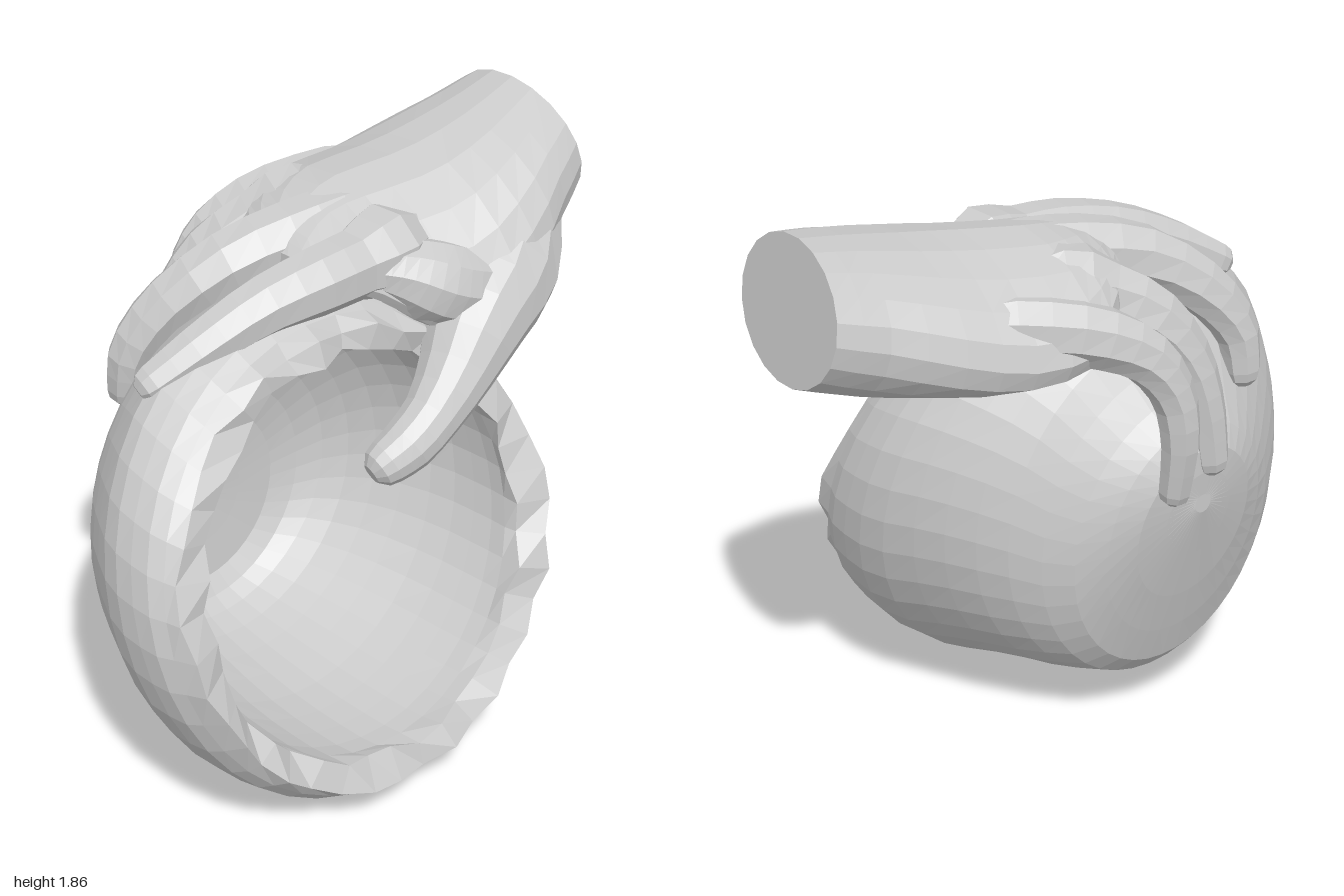
import * as THREE from 'three';

const grey = new THREE.MeshStandardMaterial({ color: 0xcccccc, flatShading: true });

// Skin a list of rings (arrays of Vector3, counter-clockwise about the travel) and cap both ends
function loft(name, rings) {
  const n = rings[0].length, m = rings.length, pos = [], idx = [];
  rings.forEach(r => r.forEach(p => pos.push(p.x, p.y, p.z)));
  for (let i = 0; i < m - 1; i++) {
    for (let j = 0; j < n; j++) {
      const a = i * n + j, b = i * n + (j + 1) % n;
      idx.push(a, b, a + n, b, b + n, a + n);
    }
  }
  [0, m - 1].forEach((i, end) => {
    const c = new THREE.Vector3();
    rings[i].forEach(p => c.addScaledVector(p, 1 / n));
    const k = pos.length / 3;
    pos.push(c.x, c.y, c.z);
    for (let j = 0; j < n; j++) {
      const a = i * n + j, b = i * n + (j + 1) % n;
      if (end) idx.push(k, a, b); else idx.push(k, b, a);
    }
  });
  let g = new THREE.BufferGeometry();
  g.setAttribute('position', new THREE.Float32BufferAttribute(pos, 3));
  g.setIndex(idx);
  g = g.toNonIndexed();
  g.computeVertexNormals();
  const mesh = new THREE.Mesh(g, grey);
  mesh.name = name;
  return mesh;
}

// Smoothly resample rows of up to six numbers, column by column
function resample(rows, steps) {
  const v = (a, b, c) => new THREE.CatmullRomCurve3(rows.map(r => new THREE.Vector3(r[a] ?? 0, r[b] ?? 0, r[c] ?? 0)));
  const c1 = v(0, 1, 2), c2 = v(3, 4, 5);
  return Array.from({ length: steps + 1 }, (_, i) => [...c1.getPoint(i / steps).toArray(), ...c2.getPoint(i / steps).toArray()]);
}

// Finger: rows of [x, y, z, radius] from inside the palm to the tip, with a rounded tip
function finger(name, rows, sides = 8) {
  const path = resample(rows, 14);
  const pts = path.map(p => new THREE.Vector3(p[0], p[1], p[2]));
  const radii = path.map(p => p[3]);
  const last = pts.length - 1;
  const dir = pts[last].clone().sub(pts[last - 1]).normalize();
  const tipR = radii[last], tip = pts[last].clone();
  [[0.5, 0.85], [0.85, 0.45]].forEach(([d, s]) => {
    pts.push(tip.clone().addScaledVector(dir, tipR * d));
    radii.push(tipR * s);
  });
  const ref = new THREE.Vector3(0, 0, 1);
  const rings = pts.map((p, i) => {
    const t = pts[Math.min(i + 1, pts.length - 1)].clone().sub(pts[Math.max(i - 1, 0)]).normalize();
    const nrm = t.clone().cross(ref).normalize(), bin = t.clone().cross(nrm);
    return Array.from({ length: sides }, (_, j) => {
      const a = (j + 0.5) / sides * Math.PI * 2;
      return p.clone().addScaledVector(nrm, radii[i] * Math.cos(a)).addScaledVector(bin, radii[i] * Math.sin(a));
    });
  });
  return loft(name, rings);
}

// Bowl: tilted elliptical rings [centre y, radius x, radius y, z, tilt]
function makeBowl() {
  const outer = [
    [0.86, 0.03, 0.03, -0.53, 0],
    [0.77, 0.23, 0.29, -0.485, -0.05],
    [0.71, 0.41, 0.50, -0.375, -0.03],
    [0.765, 0.57, 0.63, -0.23, -0.04],
    [0.785, 0.69, 0.705, -0.05, -0.10],
    [0.775, 0.78, 0.775, 0.15, -0.20],
    [0.775, 0.785, 0.735, 0.31, -0.24],
    [0.785, 0.74, 0.655, 0.42, -0.24],
  ];
  const inner = [
    [0.785, 0.64, 0.59, 0.40, -0.21],
    [0.785, 0.65, 0.61, 0.28, -0.18],
    [0.785, 0.64, 0.61, 0.12, -0.13],
    [0.77, 0.58, 0.57, -0.08, -0.07],
    [0.71, 0.48, 0.47, -0.25, -0.02],
    [0.64, 0.32, 0.32, -0.35, -0.01],
    [0.64, 0.03, 0.03, -0.375, 0],
  ];
  let seed = 7;
  const rand = () => (seed = (seed * 16807) % 2147483647) / 2147483647 - 0.5;
  const sides = 40, out = resample(outer, 15), inn = resample(inner, 13);
  const rings = [...out, ...inn].map((r, i) => {
    // chipped, uneven lip
    const jag = i === 15 || i === 16 ? 0.05 : 0;
    return Array.from({ length: sides }, (_, j) => {
      const a = j / sides * Math.PI * 2, s = 1 + rand() * jag;
      return new THREE.Vector3(
        -0.205 + r[1] * s * Math.cos(a),
        r[0] + r[2] * s * Math.sin(a),
        r[3] + r[4] * Math.sin(a) + rand() * jag);
    });
  });
  return loft('bowl', rings);
}

// Palm and wrist: sections [x, top y, bottom y, back z, front z, arch]
function makePalm() {
  const rows = [
    [-0.13, 1.62, 1.57, -0.15, 0.10, 0.4],
    [-0.06, 1.67, 1.54, -0.31, 0.16, 0.6],
    [0.06, 1.715, 1.50, -0.45, 0.20, 0.8],
    [0.20, 1.74, 1.44, -0.55, 0.28, 0.9],
    [0.40, 1.76, 1.38, -0.525, 0.35, 0.75],
    [0.60, 1.79, 1.36, -0.47, 0.35, 0.4],
    [0.80, 1.83, 1.39, -0.395, 0.28, 0.08],
    [0.95, 1.86, 1.45, -0.36, 0.22, 0],
  ];
  const sides = 20;
  const rings = resample(rows, 14).map(([x, top, bot, zb, zf, arch], i) =>
    Array.from({ length: sides }, (_, j) => {
      const a = j / sides * Math.PI * 2, k = i / 14, s = Math.sin(a);
      const c = Math.sign(Math.cos(a)) * Math.abs(Math.cos(a)) ** (0.75 + 0.25 * k);
      const dz = s * (zf - zb) / 2;
      return new THREE.Vector3(
        x - (0.045 * c + 0.03 * s) * k,
        (top + bot) / 2 + c * (top - bot) / 2 - arch * dz * dz * (s > 0 ? 1.2 : 0.65),
        (zb + zf) / 2 + dz);
    }));
  return loft('palmAndWrist', rings);
}

export function createModel() {
  const model = new THREE.Group();
  model.name = 'handHoldingBowl';
  const hand = new THREE.Group();
  hand.name = 'hand';
  hand.add(
    makePalm(),
    finger('thumb', [
      [0.80, 1.58, 0.05, 0.08], [0.70, 1.52, 0.12, 0.165], [0.55, 1.41, 0.20, 0.2], [0.39, 1.335, 0.27, 0.17],
      [0.24, 1.22, 0.325, 0.122], [0.11, 1.125, 0.35, 0.093], [0.01, 1.06, 0.345, 0.086], [-0.06, 1.025, 0.33, 0.074],
    ], 12),
    // web between thumb and index finger
    finger('thumbWeb', [
      [-0.02, 1.59, 0.08, 0.04], [0.12, 1.55, 0.14, 0.10], [0.27, 1.47, 0.21, 0.135], [0.44, 1.40, 0.23, 0.13],
    ], 10),
    finger('indexFinger', [
      [0.48, 1.56, 0.06, 0.05], [0.22, 1.575, 0.085, 0.11], [0.05, 1.575, 0.095, 0.11], [-0.12, 1.57, 0.085, 0.105],
      [-0.32, 1.54, 0.045, 0.09], [-0.50, 1.47, 0.0, 0.076], [-0.65, 1.39, -0.05, 0.06],
    ]),
    finger('middleFinger', [
      [0.48, 1.61, -0.07, 0.05], [0.2, 1.62, -0.08, 0.11], [0.0, 1.605, -0.12, 0.115], [-0.22, 1.56, -0.2, 0.102],
      [-0.39, 1.44, -0.295, 0.084], [-0.48, 1.30, -0.35, 0.07], [-0.49, 1.17, -0.37, 0.058],
    ]),
    finger('ringFinger', [
      [0.48, 1.6, -0.19, 0.05], [0.22, 1.59, -0.25, 0.11], [0.05, 1.56, -0.325, 0.11], [-0.09, 1.47, -0.415, 0.093],
      [-0.18, 1.33, -0.475, 0.075], [-0.22, 1.17, -0.505, 0.066], [-0.24, 1.0, -0.52, 0.056],
    ]),
    finger('littleFinger', [
      [0.6, 1.59, -0.30, 0.05], [0.38, 1.565, -0.40, 0.1], [0.19, 1.52, -0.50, 0.096], [0.06, 1.44, -0.565, 0.082],
      [-0.01, 1.32, -0.605, 0.068], [-0.03, 1.17, -0.62, 0.06], [-0.03, 0.99, -0.60, 0.05],
    ]),
  );
  model.add(makeBowl(), hand);
  return model;
}
